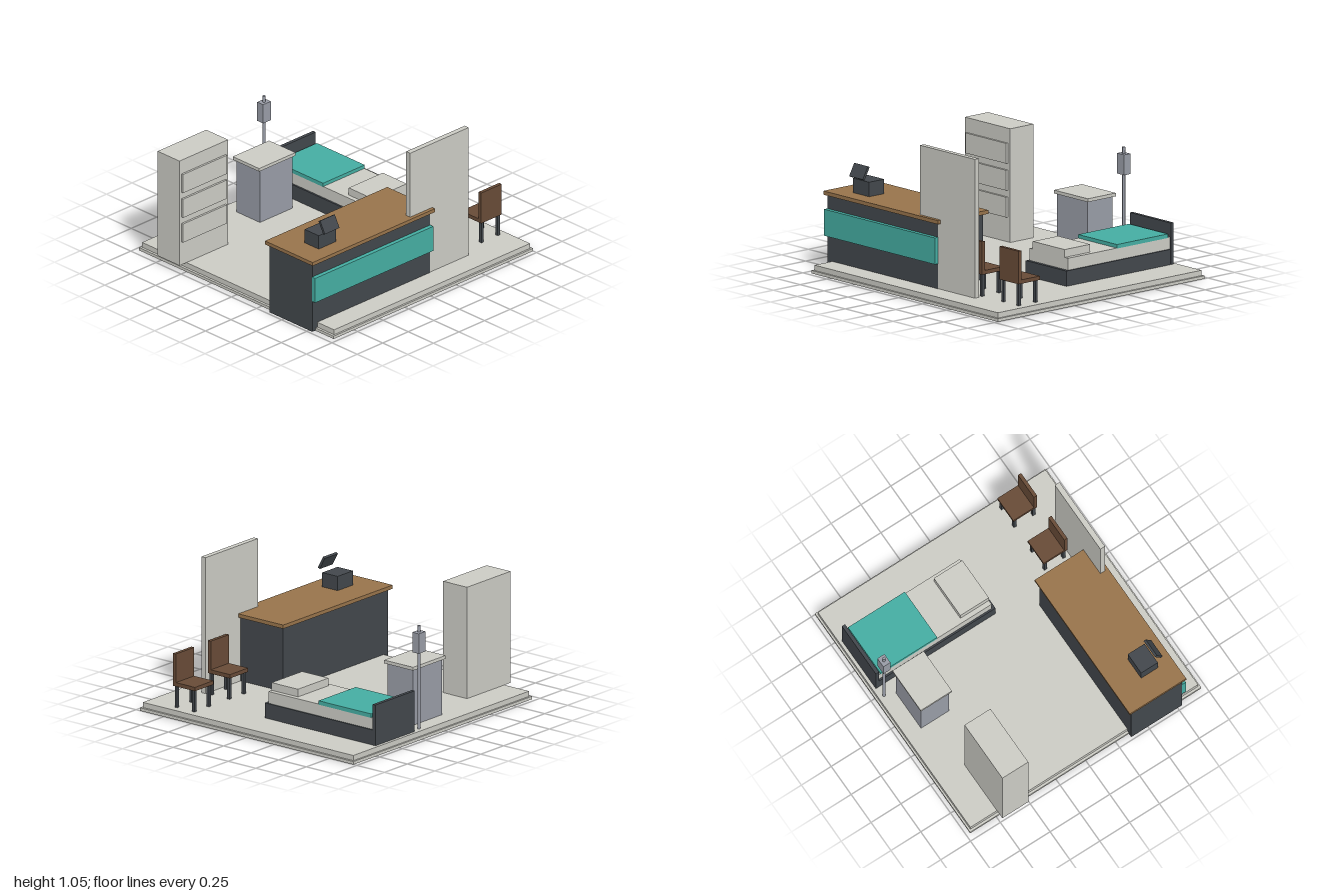
import * as THREE from 'three';

export function createModel() {
  const model = new THREE.Group();
  model.name = 'clinicRoom';

  const mat = (name, color) => {
    const m = new THREE.MeshStandardMaterial({ color });
    m.name = name;
    return m;
  };
  const white = mat('offWhite', 0xcbcbc4);
  const dark = mat('charcoal', 0x42474c);
  const teal = mat('teal', 0x45ada2);
  const wood = mat('counterWood', 0x97734b);
  const brown = mat('chairBrown', 0x684b37);
  const steel = mat('blueGrey', 0x989ca6);

  // Box given by its extents along x, y and z
  const box = (name, material, [x0, x1], [y0, y1], [z0, z1], parent = model) => {
    const mesh = new THREE.Mesh(new THREE.BoxGeometry(x1 - x0, y1 - y0, z1 - z0), material);
    mesh.position.set((x0 + x1) / 2, (y0 + y1) / 2, (z0 + z1) / 2);
    mesh.name = name;
    parent.add(mesh);
    return mesh;
  };
  const group = (name) => {
    const g = new THREE.Group();
    g.name = name;
    model.add(g);
    return g;
  };

  // Stepped floor
  box('floorBase', white, [-0.95, 1], [0, 0.022], [-0.97, 0.966]);
  box('floorSlab', white, [-0.932, 0.984], [0.022, 0.06], [-0.956, 0.952]);

  // Reception counter
  const counter = group('counter');
  box('counterBody', dark, [-0.98, 0.17], [0.002, 0.53], [0.36, 0.785], counter);
  box('counterTop', wood, [-1, 0.195], [0.53, 0.557], [0.335, 0.808], counter);
  box('counterPanel', teal, [-0.983, 0.173], [0.24, 0.43], [0.785, 0.816], counter);

  // Desk terminal with a tilted screen
  const terminal = group('terminal');
  box('terminalBase', dark, [-0.823, -0.655], [0.557, 0.661], [0.548, 0.688], terminal);
  const screen = box('terminalScreen', dark, [-0.81, -0.667], [0.675, 0.775], [0.696, 0.714], terminal);
  screen.rotation.x = -0.5;

  // Partition wall beside the counter
  box('partition', white, [-0.02, 0.552], [0.06, 1.055], [0.742, 0.781]);

  // Tall cabinet with drawers
  const cabinet = group('cabinet');
  box('cabinetBody', white, [-1, -0.525], [0.06, 0.875], [-0.733, -0.516], cabinet);
  for (let i = 0; i < 3; i++) {
    const y = 0.623 - i * 0.193;
    box('cabinetDrawer', white, [-0.978, -0.55], [y, y + 0.145], [-0.516, -0.501], cabinet);
  }

  // Bed, head end at the back
  const bed = group('bed');
  box('bedFrame', dark, [0.29, 0.715], [0.002, 0.17], [-0.92, 0.07], bed);
  box('headboard', dark, [0.289, 0.716], [0.002, 0.358], [-0.933, -0.907], bed);
  box('mattress', white, [0.303, 0.705], [0.17, 0.256], [-0.907, 0.046], bed);
  box('blanket', teal, [0.301, 0.708], [0.253, 0.282], [-0.887, -0.411], bed);
  box('pillow', white, [0.337, 0.67], [0.256, 0.312], [-0.193, 0.046], bed);

  // Bedside cart
  const cart = group('cart');
  box('cartBody', steel, [-0.13, 0.187], [0.05, 0.468], [-0.834, -0.601], cart);
  box('cartTop', white, [-0.15, 0.205], [0.468, 0.492], [-0.85, -0.588], cart);

  // Drip stand
  const stand = group('dripStand');
  const pole = new THREE.Mesh(new THREE.CylinderGeometry(0.011, 0.011, 0.765, 8), steel);
  pole.position.set(0.217, 0.4325, -0.913);
  pole.name = 'standPole';
  stand.add(pole);
  box('standPump', steel, [0.18, 0.255], [0.622, 0.768], [-0.943, -0.884], stand);

  // Two waiting chairs, backs toward the front
  for (const x of [0.357, 0.738]) {
    const chair = group('chair');
    box('chairSeat', brown, [x, x + 0.2], [0.218, 0.246], [0.518, 0.717], chair);
    box('chairBack', brown, [x, x + 0.2], [0.246, 0.455], [0.691, 0.717], chair);
    for (const dx of [0.01, 0.168]) {
      for (const z of [0.53, 0.687]) {
        box('chairLeg', dark, [x + dx, x + dx + 0.022], [0.002, 0.218], [z, z + 0.022], chair);
      }
    }
  }

  return model;
}
